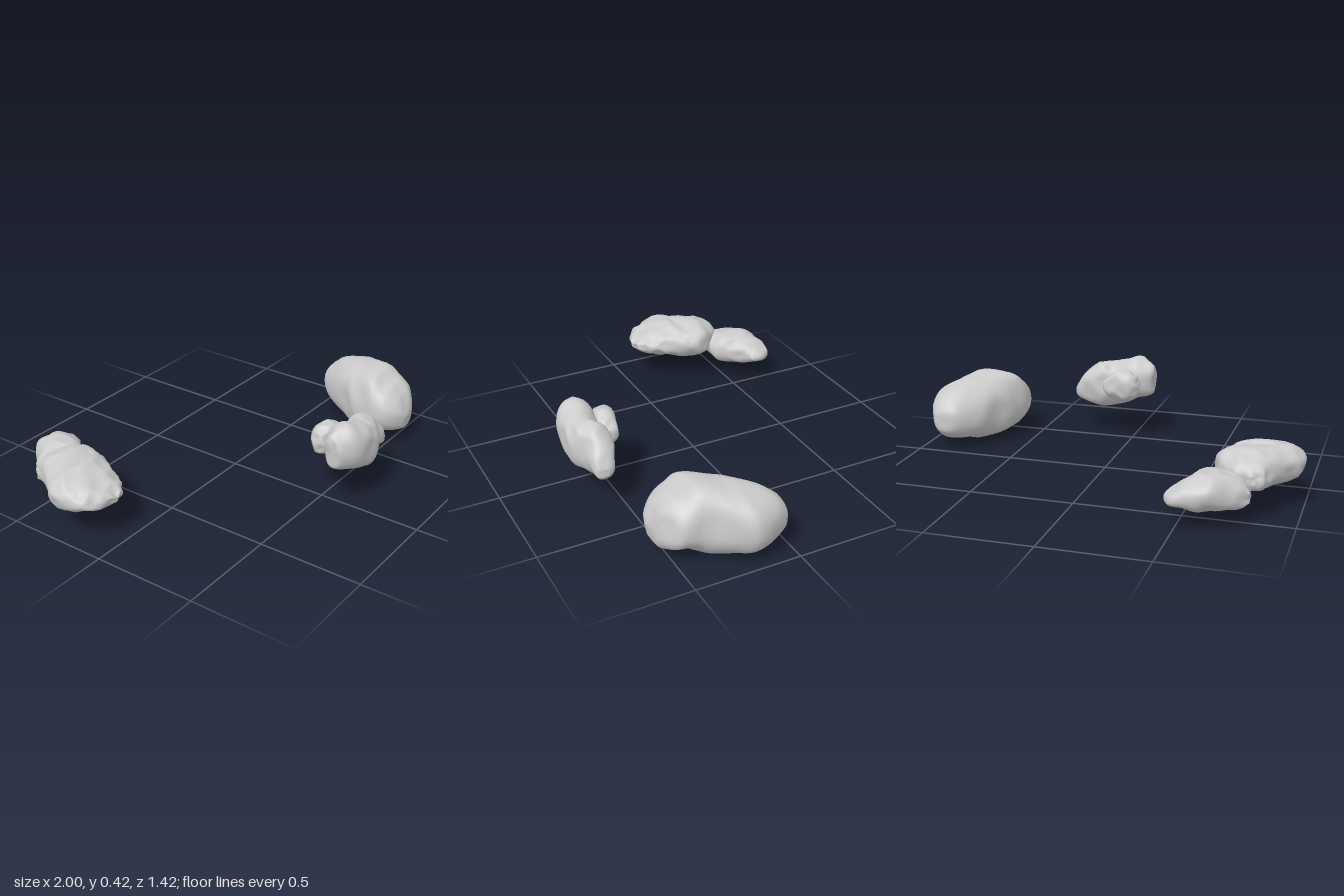
import * as THREE from 'three';

const SIDES = 40, STEPS = 5;

function seeded(seed) {
  let s = seed;
  return () => (s = (s * 16807) % 2147483647) / 2147483647;
}

// Rock lofted along x or z. Each row: [position, low side, high side, bottom, top].
// Shallow cellular dents leave soft ridges between worn facets.
function rock(name, axis, rows, cells, dent, seed) {
  const list = axis === 'x' ? [...rows].reverse() : rows;
  const cubic = (a, b, c, d, t) =>
    b + 0.5 * t * (c - a + t * (2 * a - 5 * b + 4 * c - d + t * (3 * (b - c) + d - a)));
  const pts = [];
  const place = (s, h, y) => pts.push(axis === 'x' ? new THREE.Vector3(s, y, h) : new THREE.Vector3(h, y, s));
  const soft = (v) => Math.sign(v) * Math.abs(v) ** 0.86;

  // Rings of rounded-square sections
  const rings = (list.length - 1) * STEPS + 1;
  for (let i = 0; i < rings; i++) {
    const k = Math.min(Math.floor(i / STEPS), list.length - 2), t = i / STEPS - k;
    const at = (n) => list[Math.max(0, Math.min(list.length - 1, n))];
    const [s, h0, h1, y0, y1] = list[0].map((_, c) =>
      cubic(at(k - 1)[c], at(k)[c], at(k + 1)[c], at(k + 2)[c], t));
    for (let j = 0; j < SIDES; j++) {
      const a = (j / SIDES) * Math.PI * 2;
      place(s, (h0 + h1) / 2 + soft(Math.cos(a)) * (h1 - h0) / 2,
        (y0 + y1) / 2 + soft(Math.sin(a)) * (y1 - y0) / 2);
    }
  }
  // End cap centres
  for (const r of [list[0], list[list.length - 1]]) place(r[0], (r[1] + r[2]) / 2, (r[3] + r[4]) / 2);

  const index = [], first = rings * SIDES, last = first + 1;
  for (let j = 0; j < SIDES; j++) {
    const n = (j + 1) % SIDES, top = (rings - 1) * SIDES;
    for (let i = 0; i < rings - 1; i++) {
      const a = i * SIDES + j, b = i * SIDES + n;
      index.push(a, b, b + SIDES, a, b + SIDES, a + SIDES);
    }
    index.push(first, n, j, last, top + j, top + n);
  }

  // Scatter facet centres evenly over the surface
  const rand = seeded(seed), seeds = [];
  for (let c = 0; c < cells; c++) {
    let best = null, far = -1;
    for (let tries = 0; tries < 6; tries++) {
      const p = pts[Math.floor(rand() * pts.length)];
      const d = seeds.length ? Math.min(...seeds.map((q) => q.distanceTo(p))) : 1;
      if (d > far) { far = d; best = p; }
    }
    seeds.push(best.clone());
  }
  const geo = new THREE.BufferGeometry().setFromPoints(pts);
  geo.setIndex(index);
  geo.computeVertexNormals();
  const pos = geo.attributes.position, nor = geo.attributes.normal;
  pts.forEach((p, i) => {
    const d = seeds.map((q) => q.distanceTo(p)).sort((a, b) => a - b);
    const push = -dent * Math.min(1, (d[1] - d[0]) / (d[1] + d[0] + 1e-4) * 1.3);
    pos.setXYZ(i, p.x + nor.getX(i) * push, p.y + nor.getY(i) * push, p.z + nor.getZ(i) * push);
  });
  geo.computeVertexNormals();
  const mesh = new THREE.Mesh(geo, new THREE.MeshStandardMaterial({ color: 0xcccccc }));
  mesh.name = name;
  return mesh;
}

export function createModel() {
  const model = new THREE.Group();
  model.name = 'rocks';
  model.add(
    rock('largeBoulder', 'z', [
      [0, 0.84, 0.9, 0.12, 0.18],
      [0.02, 0.79, 0.935, 0.085, 0.225],
      [0.1, 0.715, 0.97, 0.04, 0.295],
      [0.2, 0.65, 1.003, 0.018, 0.33],
      [0.28, 0.605, 0.96, 0, 0.34],
      [0.39, 0.565, 0.9, 0.02, 0.36],
      [0.45, 0.56, 0.885, 0.04, 0.32],
      [0.51, 0.575, 0.865, 0.05, 0.285],
      [0.555, 0.62, 0.78, 0.065, 0.24],
      [0.578, 0.66, 0.7, 0.09, 0.15],
    ], 14, 0.014, 11),
    rock('cragRock', 'z', [
      [-0.52, -0.82, -0.77, 0.18, 0.22],
      [-0.5, -0.855, -0.715, 0.15, 0.25],
      [-0.45, -0.88, -0.665, 0.125, 0.285],
      [-0.39, -0.91, -0.615, 0.115, 0.308],
      [-0.3, -0.98, -0.615, 0.115, 0.3],
      [-0.24, -1.003, -0.65, 0.115, 0.305],
      [-0.15, -0.985, -0.69, 0.135, 0.275],
      [-0.09, -0.955, -0.725, 0.155, 0.248],
      [-0.05, -0.88, -0.77, 0.175, 0.225],
      [-0.038, -0.84, -0.81, 0.19, 0.21],
    ], 48, 0.013, 23),
    rock('lowRock', 'x', [
      [-0.805, -0.56, -0.51, 0.11, 0.17],
      [-0.78, -0.58, -0.48, 0.085, 0.2],
      [-0.73, -0.63, -0.44, 0.078, 0.23],
      [-0.66, -0.695, -0.425, 0.083, 0.247],
      [-0.6, -0.705, -0.437, 0.075, 0.248],
      [-0.55, -0.715, -0.49, 0.085, 0.225],
      [-0.49, -0.71, -0.575, 0.108, 0.19],
      [-0.46, -0.67, -0.59, 0.12, 0.165],
      [-0.448, -0.64, -0.61, 0.135, 0.15],
    ], 18, 0.01, 37),
    rock('frontRock', 'x', [
      [-0.1, 0.58, 0.63, 0.25, 0.36],
      [-0.085, 0.55, 0.655, 0.22, 0.39],
      [-0.01, 0.52, 0.7, 0.195, 0.425],
      [0.06, 0.525, 0.708, 0.163, 0.405],
      [0.12, 0.525, 0.706, 0.147, 0.388],
      [0.17, 0.513, 0.695, 0.138, 0.39],
      [0.22, 0.512, 0.665, 0.147, 0.375],
      [0.28, 0.53, 0.655, 0.162, 0.325],
      [0.33, 0.56, 0.645, 0.18, 0.26],
      [0.347, 0.585, 0.62, 0.2, 0.235],
    ], 18, 0.011, 41),
    rock('smallRock', 'x', [
      [-0.042, 0.475, 0.5, 0.27, 0.31],
      [-0.025, 0.445, 0.525, 0.235, 0.345],
      [0.02, 0.425, 0.545, 0.212, 0.37],
      [0.07, 0.435, 0.547, 0.205, 0.372],
      [0.12, 0.445, 0.54, 0.22, 0.345],
      [0.15, 0.46, 0.525, 0.245, 0.315],
      [0.162, 0.48, 0.505, 0.265, 0.29],
    ], 16, 0.008, 59),
  );
  return model;
}
